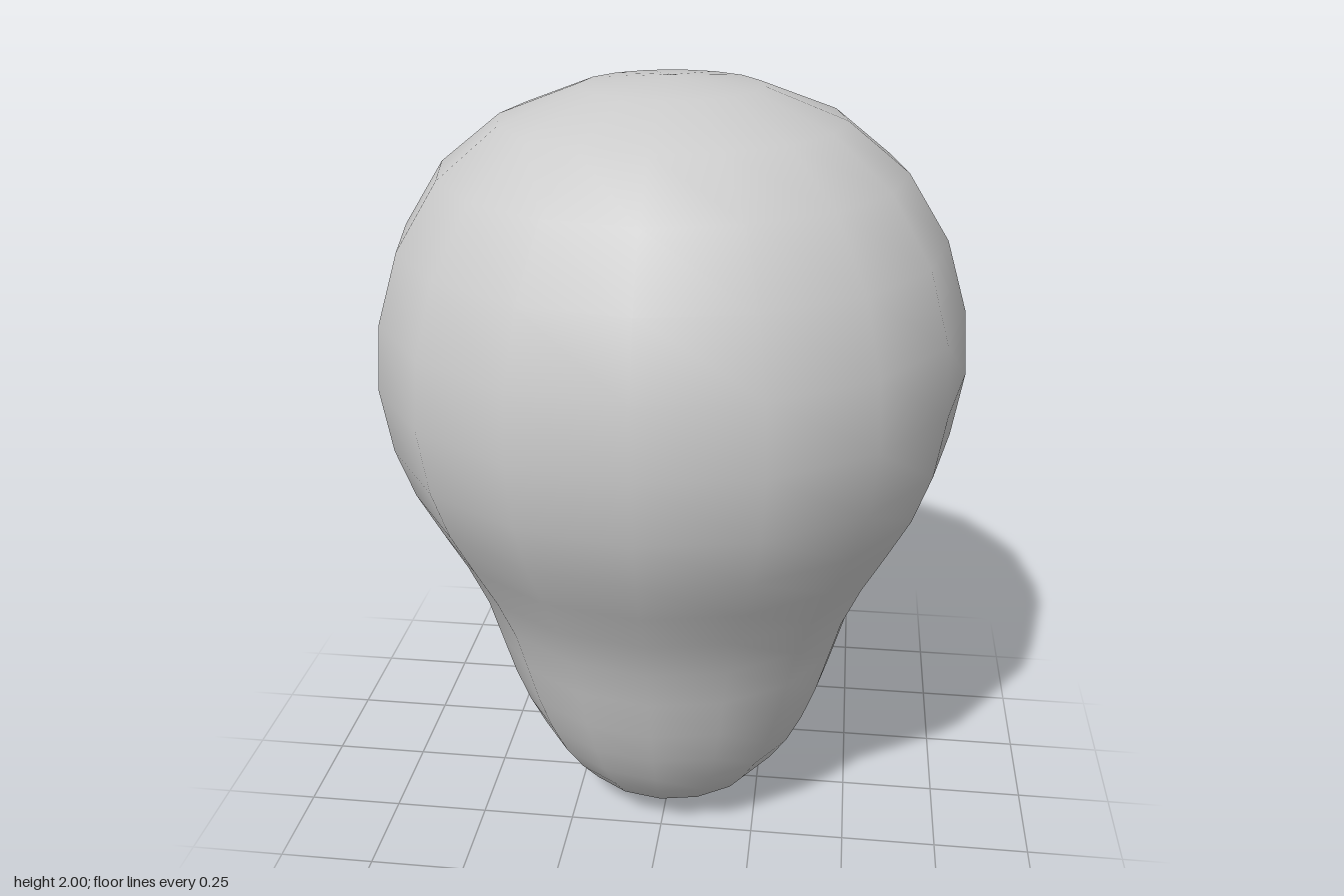
import * as THREE from 'three';

export function createModel() {
  const group = new THREE.Group();
  group.name = 'bulb';

  // Half outline [radius, height], from the bottom pole to the top pole
  const profile = [
    [0, 0], [0.105, 0.013], [0.187, 0.042], [0.262, 0.095], [0.312, 0.155],
    [0.362, 0.23], [0.405, 0.32], [0.442, 0.42], [0.475, 0.535], [0.506, 0.643],
    [0.555, 0.754], [0.615, 0.865], [0.675, 0.98], [0.72, 1.109], [0.746, 1.273],
    [0.732, 1.443], [0.678, 1.617], [0.574, 1.78], [0.423, 1.9], [0.222, 1.977], [0, 2],
  ].map(([r, y]) => new THREE.Vector2(r, y));

  // Sixteen-sided smooth body of revolution
  const geometry = new THREE.LatheGeometry(profile, 16);

  // Point the pole normals straight down and up so the ends shade as round
  const { position, normal } = geometry.attributes;
  for (let i = 0; i < position.count; i++) {
    const ring = i % profile.length;
    if (ring === 0) normal.setXYZ(i, 0, -1, 0);
    if (ring === profile.length - 1) normal.setXYZ(i, 0, 1, 0);
  }

  const body = new THREE.Mesh(geometry, new THREE.MeshStandardMaterial({ color: 0xcccccc }));
  body.name = 'body';
  group.add(body);
  return group;
}
